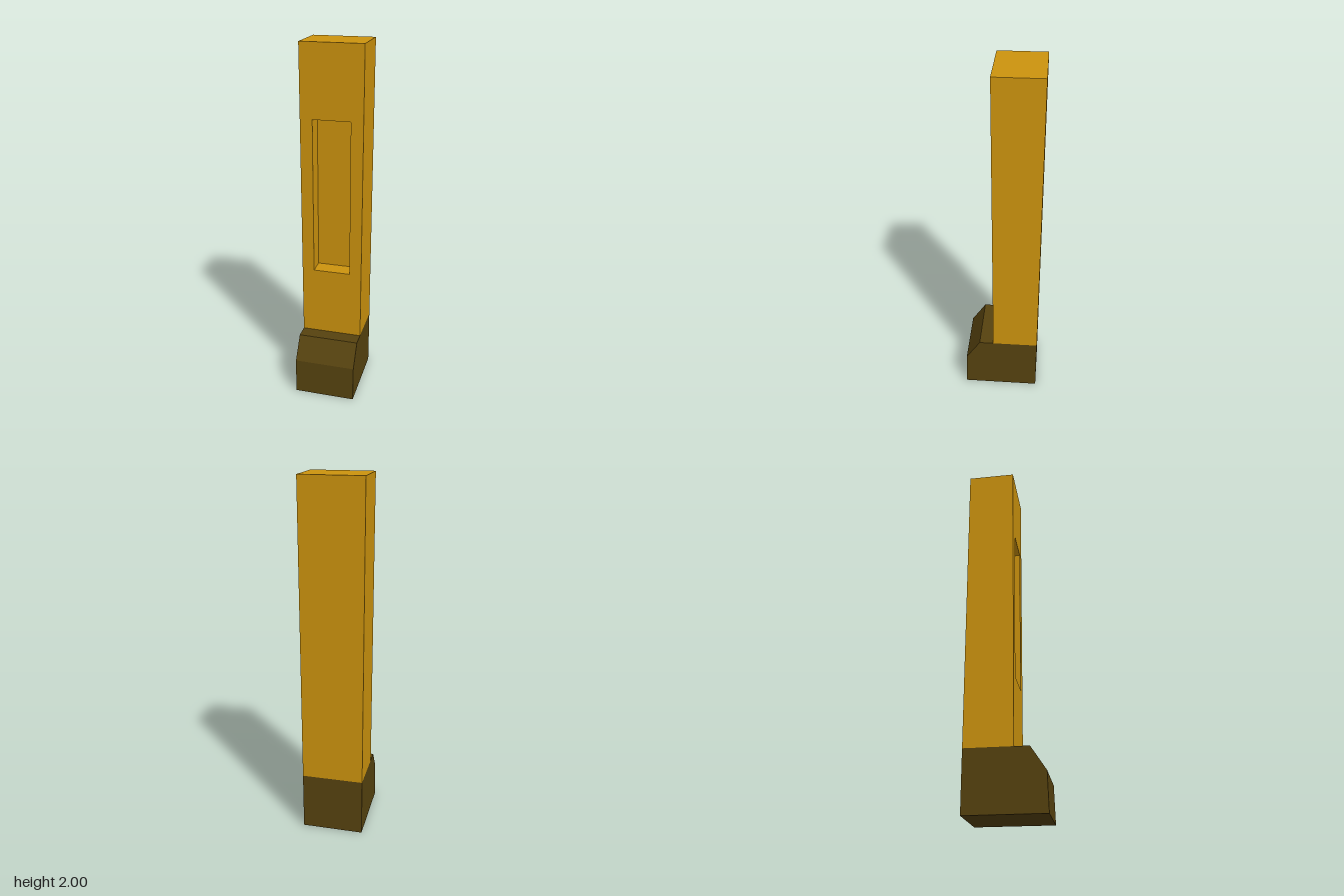
import * as THREE from 'three';

const W = 0.344, BACK = -0.215, FRONT = 0.045, BASE_TOP = 0.33, TOP = 2;

// Box spanning the given limits, with its +z face left out
function openFrontBox(x0, x1, y0, y1, z0, z1) {
  const g = new THREE.BoxGeometry(x1 - x0, y1 - y0, z1 - z0);
  const index = Array.from(g.index.array);
  index.splice(24, 6);
  g.setIndex(index);
  g.clearGroups();
  return g.translate((x0 + x1) / 2, (y0 + y1) / 2, (z0 + z1) / 2);
}

function rectPoints(x0, x1, y0, y1) {
  return [[x0, y0], [x1, y0], [x1, y1], [x0, y1]].map(([x, y]) => new THREE.Vector2(x, y));
}

export function createModel() {
  const group = new THREE.Group();
  const yellow = new THREE.MeshStandardMaterial({ color: 0xcc930e });
  const yellowInside = new THREE.MeshStandardMaterial({ color: 0xcc930e, side: THREE.DoubleSide });
  const brown = new THREE.MeshStandardMaterial({ color: 0x56420f });

  const add = (name, geometry, material) => {
    const mesh = new THREE.Mesh(geometry, material);
    mesh.name = name;
    group.add(mesh);
  };

  // Column: back, sides, top and underside
  add('column', openFrontBox(-W / 2, W / 2, BASE_TOP, TOP, BACK, FRONT), yellow);

  // Column front with a rectangular opening
  const recess = [-0.104, 0.104, 0.725, 1.603];
  const front = new THREE.Shape(rectPoints(-W / 2, W / 2, BASE_TOP, TOP));
  front.holes.push(new THREE.Path(rectPoints(...recess)));
  add('columnFront', new THREE.ShapeGeometry(front).translate(0, 0, FRONT), yellow);

  // Pocket behind the opening
  add('recess', openFrontBox(...recess, FRONT - 0.095, FRONT), yellowInside);

  // Base: side profile (z, y) with a sloped toe, extruded across the width
  const profile = new THREE.Shape(
    [[BACK, 0], [0.214, 0], [0.208, 0.205], [0.126, BASE_TOP], [BACK, BASE_TOP]]
      .map(([z, y]) => new THREE.Vector2(z, y)));
  const base = new THREE.ExtrudeGeometry(profile, { depth: W, bevelEnabled: false });
  base.translate(0, 0, -W / 2).rotateY(-Math.PI / 2);
  add('base', base, brown);

  return group;
}
